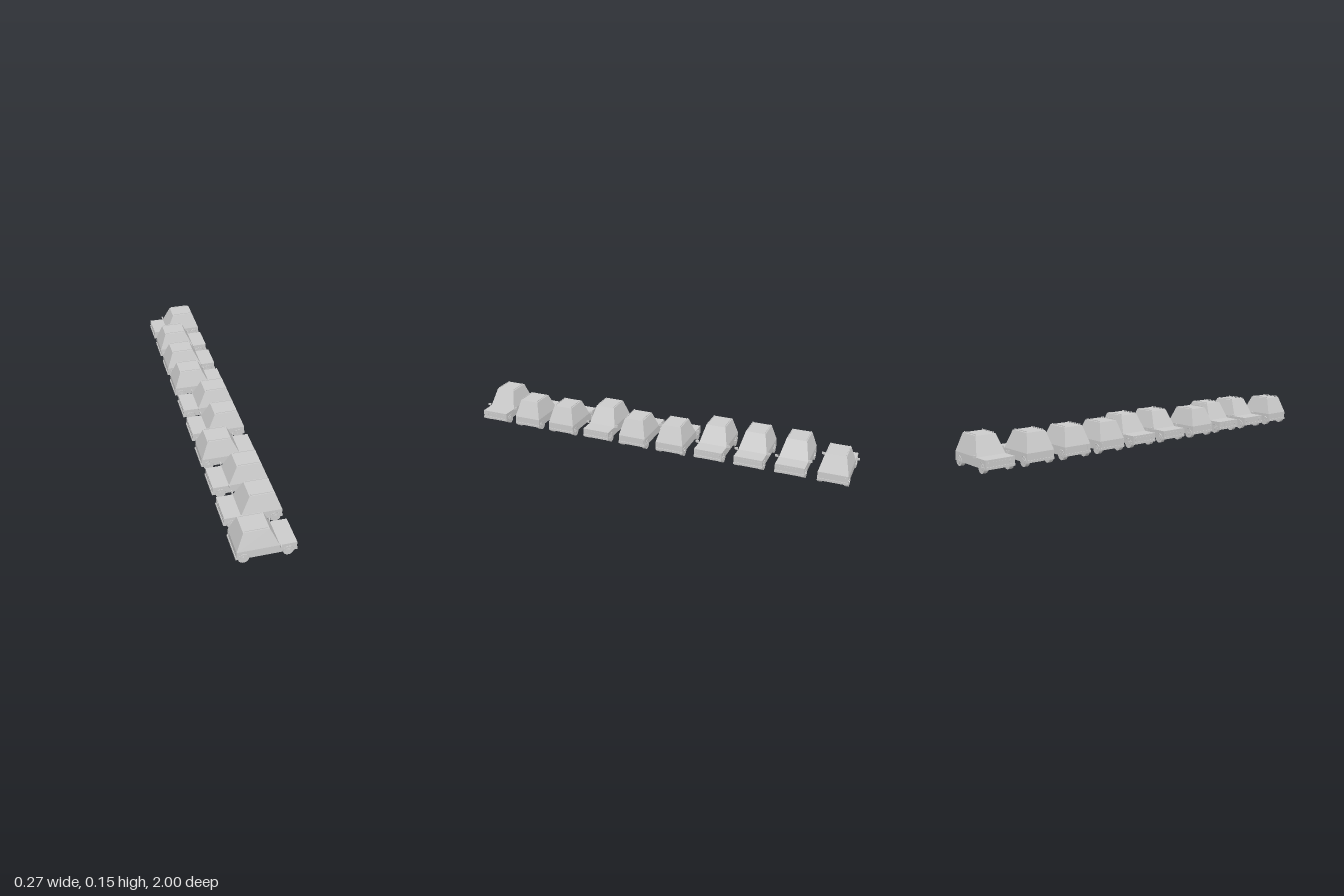
import * as THREE from 'three';

const material = new THREE.MeshStandardMaterial({ color: 0xcccccc, flatShading: true });
const smooth = new THREE.MeshStandardMaterial({ color: 0xcccccc });

function add(parent, name, geometry, x, y, z, mat = material) {
  const mesh = new THREE.Mesh(geometry, mat);
  mesh.name = name;
  mesh.position.set(x, y, z);
  parent.add(mesh);
  return mesh;
}

// Box given by its limits along each axis
function block(parent, name, x0, x1, y0, y1, z0, z1) {
  const geometry = new THREE.BoxGeometry(x1 - x0, y1 - y0, Math.abs(z1 - z0));
  return add(parent, name, geometry, (x0 + x1) / 2, (y0 + y1) / 2, (z0 + z1) / 2);
}

// Box whose upper face is drawn in to a smaller roof
function cabinGeometry() {
  const geometry = new THREE.BoxGeometry(1, 1, 1);
  const p = geometry.attributes.position;
  for (let i = 0; i < p.count; i++) {
    const top = p.getY(i) > 0, front = p.getX(i) > 0, side = Math.sign(p.getZ(i));
    p.setXYZ(i,
      front ? (top ? 0.014 : 0.055) : (top ? -0.1 : -0.132),
      top ? 0.148 : 0.063,
      side * (top ? 0.049 : 0.071));
  }
  geometry.computeVertexNormals();
  return geometry;
}

// One wheel, its outer face toward the given side
function createWheel(x, side) {
  const wheel = new THREE.Group();
  wheel.name = 'wheel';
  const disc = (name, radius, width, z) => {
    const geometry = new THREE.CylinderGeometry(radius, radius, width, 24).rotateX(Math.PI / 2);
    add(wheel, name, geometry, 0, 0, z * side, smooth);
  };
  disc('tyre', 0.0235, 0.02, 0);
  disc('rim', 0.0135, 0.002, 0.0105);
  disc('hub', 0.0085, 0.003, 0.011);
  wheel.position.set(x, 0.0235, 0.0625 * side);
  return wheel;
}

// One car, its bonnet toward +x
function createCar() {
  const car = new THREE.Group();
  block(car, 'lowerBody', -0.132, 0.131, 0.021, 0.063, -0.071, 0.071);
  add(car, 'cabin', cabinGeometry(), 0, 0, 0);
  block(car, 'frontBumper', 0.125, 0.1345, 0.021, 0.032, -0.071, 0.071);
  block(car, 'rearBumper', -0.1355, -0.125, 0.021, 0.032, -0.071, 0.071);
  block(car, 'grille', 0.13, 0.132, 0.039, 0.053, -0.034, 0.034);

  for (const side of [-1, 1]) {
    for (const x of [-0.101, 0.094]) {
      car.add(createWheel(x, side));
      const arch = new THREE.TorusGeometry(0.0245, 0.001, 6, 20, Math.PI);
      add(car, 'wheelArch', arch, x, 0.0235, 0.071 * side, smooth);
    }
    // Lights
    const lamp = new THREE.CylinderGeometry(0.008, 0.008, 0.003, 20).rotateZ(Math.PI / 2);
    add(car, 'headlight', lamp, 0.131, 0.046, 0.052 * side, smooth);
    block(car, 'tailLight', -0.133, -0.131, 0.038, 0.055, 0.056 * side, 0.067 * side);
    // Door mirrors on short arms
    block(car, 'mirrorArm', 0.054, 0.057, 0.06, 0.063, 0.068 * side, 0.08 * side);
    block(car, 'mirror', 0.053, 0.058, 0.062, 0.073, 0.074 * side, 0.09 * side);
    // Roof rails on posts
    block(car, 'roofRail', -0.093, 0.007, 0.1505, 0.1535, 0.043 * side, 0.046 * side);
    for (const x of [-0.092, 0.006]) {
      block(car, 'railPost', x - 0.001, x + 0.001, 0.147, 0.151, 0.0435 * side, 0.0455 * side);
    }
  }
  return car;
}

export function createModel() {
  const model = new THREE.Group();
  model.name = 'parkedCars';
  // Row along z; 1 faces +x, -1 faces -x
  const facing = [-1, 1, 1, 1, -1, -1, 1, -1, -1, 1];
  const prototype = createCar();
  facing.forEach((direction, i) => {
    const car = prototype.clone();
    car.name = `car${i + 1}`;
    car.position.z = (i - 4.5) * (1.82 / 9);
    if (direction < 0) car.rotation.y = Math.PI;
    model.add(car);
  });
  return model;
}
